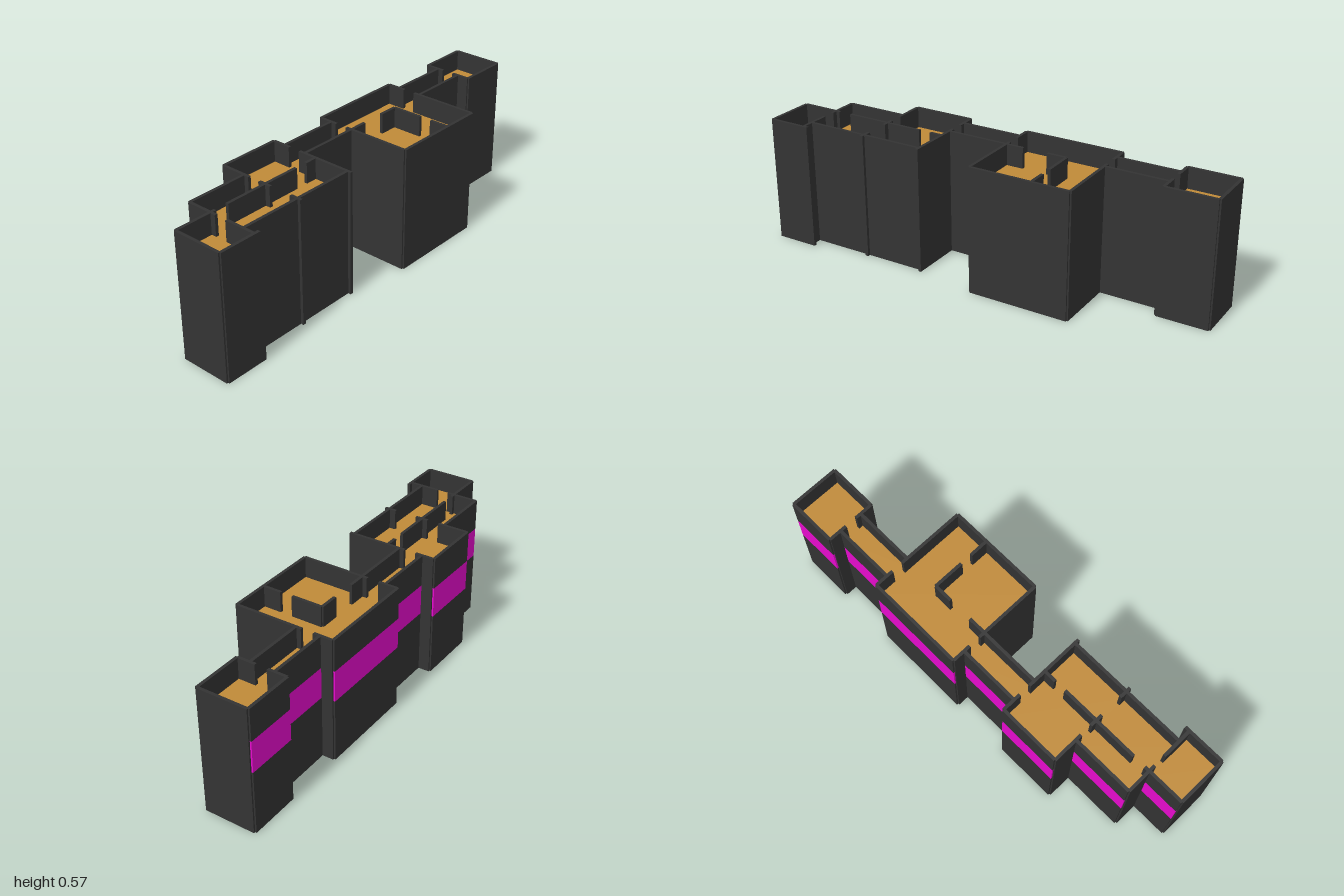
import * as THREE from 'three';

const H = 0.567, T = 0.014;          // wall height and thickness
const SILL = 0.285, HEAD = 0.425;    // window band
const FLOOR = 0.475;                 // floor level inside the walls

const wallMat = new THREE.MeshStandardMaterial({ color: 0x333333 });
const windowMat = new THREE.MeshStandardMaterial({ color: 0xe60acd });
const floorMat = new THREE.MeshStandardMaterial({ color: 0xc08a38, side: THREE.DoubleSide });

// Box from two opposite corners
function block(name, mat, x0, x1, y0, y1, z0, z1) {
  const mesh = new THREE.Mesh(new THREE.BoxGeometry(x1 - x0, y1 - y0, z1 - z0), mat);
  mesh.position.set((x0 + x1) / 2, (y0 + y1) / 2, (z0 + z1) / 2);
  mesh.name = name;
  return mesh;
}

const wallX = (z, x0, x1, y0 = 0, y1 = H, name = 'wall', mat = wallMat) =>
  block(name, mat, x0, x1, y0, y1, z - T / 2, z + T / 2);
const wallZ = (x, z0, z1) => block('wall', wallMat, x - T / 2, x + T / 2, 0, H, z0, z1);

// Back wall split into sill, window band and lintel
function windowWall(z, x0, x1) {
  const g = new THREE.Group();
  g.name = 'windowWall';
  g.add(wallX(z, x0, x1, 0, SILL, 'sill'),
    wallX(z, x0, x1, SILL, HEAD, 'window', windowMat),
    wallX(z, x0, x1, HEAD, H, 'lintel'));
  return g;
}

export function createModel() {
  const model = new THREE.Group();
  model.name = 'building';

  // Grid lines of the plan, left to right and back to front
  const [xa, xb, xc, xd, xe, xf, xg, xh] = [-0.993, -0.823, -0.54, -0.257, 0.027, 0.481, 0.765, 0.993];
  const [za, zb, zc, zd, ze, zf, zg] = [-0.228, -0.17, -0.113, -0.058, 0, 0.17, 0.228];
  const d0 = -0.14, d1 = -0.085;     // corridor door opening

  // Back walls with windows: z, x from, x to
  [[ze, xa, xb], [zc, xb, xc], [za, xc, xd], [zb, xd, xe],
    [za, xe, xf], [zb, xf, xg], [za, xg, xh]].forEach(w => model.add(windowWall(...w)));

  // Walls running along x
  [
    [zg, xa, -0.8], [zf, xb, xd],                                 // left wing fronts
    [ze, xb, -0.8], [ze, -0.74, -0.37], [ze, -0.315, xd],         // left wing partitions
    [zd, xd, xe], [zd, xf, xg],                                   // corridor fronts
    [zg, xe, xf], [zd, xe, 0.11], [zd, 0.222, 0.31],              // central room
    [ze, xg, xh],                                                 // end room front
  ].forEach(w => model.add(wallX(...w)));

  // Walls running along z
  [
    [xa, ze, zg], [xb, zc, 0.03], [xb, 0.085, zg],                // left wing
    [xc, za, d1], [xc, -0.03, 0.03], [xc, 0.135, 0.19],
    [xd, za, d0], [xd, d1, 0.19],
    [xe, za, d0], [xe, d1, zg], [xf, za, d0], [xf, d1, zg],       // central room
    [0.31, zd, 0.085], [0.31, 0.14, zg],
    [xg, za, d0], [xg, d1, ze], [xh, za, ze],                     // end room
  ].forEach(w => model.add(wallZ(...w)));

  // Floors: x from, x to, z from, z to
  [
    [xa, xb, ze, zg], [xb, xc, zc, zf], [xc, xd, za, zf], [xd, xe, zb, zd],
    [xe, xf, za, zg], [xf, xg, zb, zd], [xg, xh, za, ze],
  ].forEach(([x0, x1, z0, z1]) => {
    const floor = new THREE.Mesh(new THREE.PlaneGeometry(x1 - x0, z1 - z0), floorMat);
    floor.rotation.x = -Math.PI / 2;
    floor.position.set((x0 + x1) / 2, FLOOR, (z0 + z1) / 2);
    floor.name = 'floor';
    model.add(floor);
  });

  return model;
}
